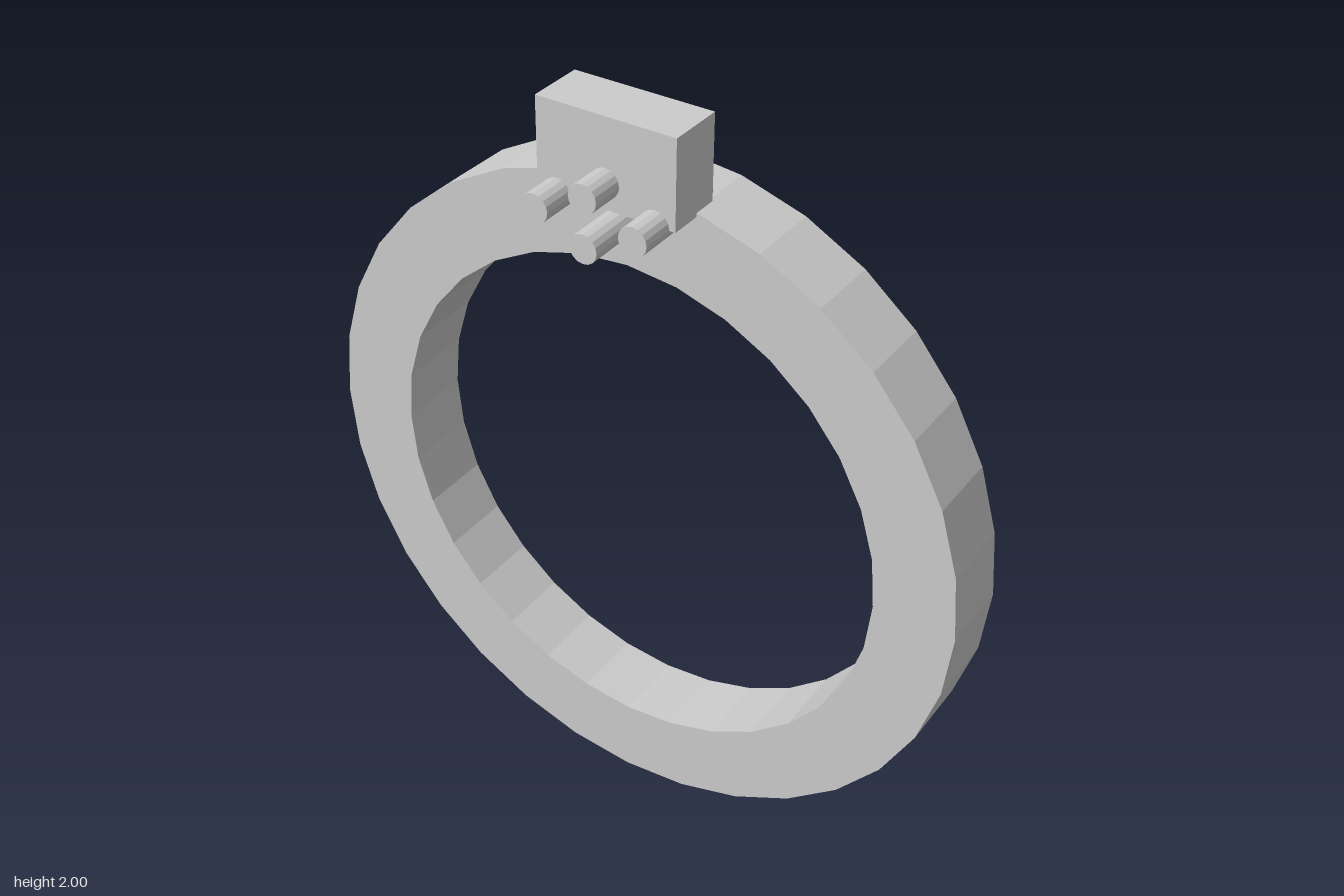
import * as THREE from 'three';

const material = new THREE.MeshStandardMaterial({ color: 0xcccccc, flatShading: true });

// Points of a regular polygon around the origin
function polygon(radius, sides) {
  return Array.from({ length: sides }, (_, i) => {
    const a = (i / sides) * Math.PI * 2;
    return new THREE.Vector2(radius * Math.cos(a), radius * Math.sin(a));
  });
}

function addPart(group, name, geometry, x, y, z) {
  const mesh = new THREE.Mesh(geometry, material);
  mesh.name = name;
  mesh.position.set(x, y, z);
  group.add(mesh);
}

export function createModel() {
  const group = new THREE.Group();
  group.name = 'ringWithStuddedBlock';

  // Flat faceted band standing upright
  const bandShape = new THREE.Shape(polygon(0.902, 32));
  bandShape.holes.push(new THREE.Path(polygon(0.69, 32)));
  const band = new THREE.ExtrudeGeometry(bandShape, { depth: 0.198, bevelEnabled: false });
  addPart(group, 'band', band, 0, 0.902, -0.185);

  // Block set into the top of the band
  addPart(group, 'block', new THREE.BoxGeometry(0.366, 0.225, 0.149), 0, 1.8875, 0.023);

  // Four pins running front to back through the block's lower edge
  const pin = new THREE.CylinderGeometry(0.037, 0.037, 0.27, 16).rotateX(Math.PI / 2);
  const pins = { topPin: [0, 1.84], bottomPin: [0, 1.717], leftPin: [0.13, 1.777], rightPin: [-0.13, 1.777] };
  for (const [name, [x, y]] of Object.entries(pins)) addPart(group, name, pin, x, y, 0.05);

  return group;
}
